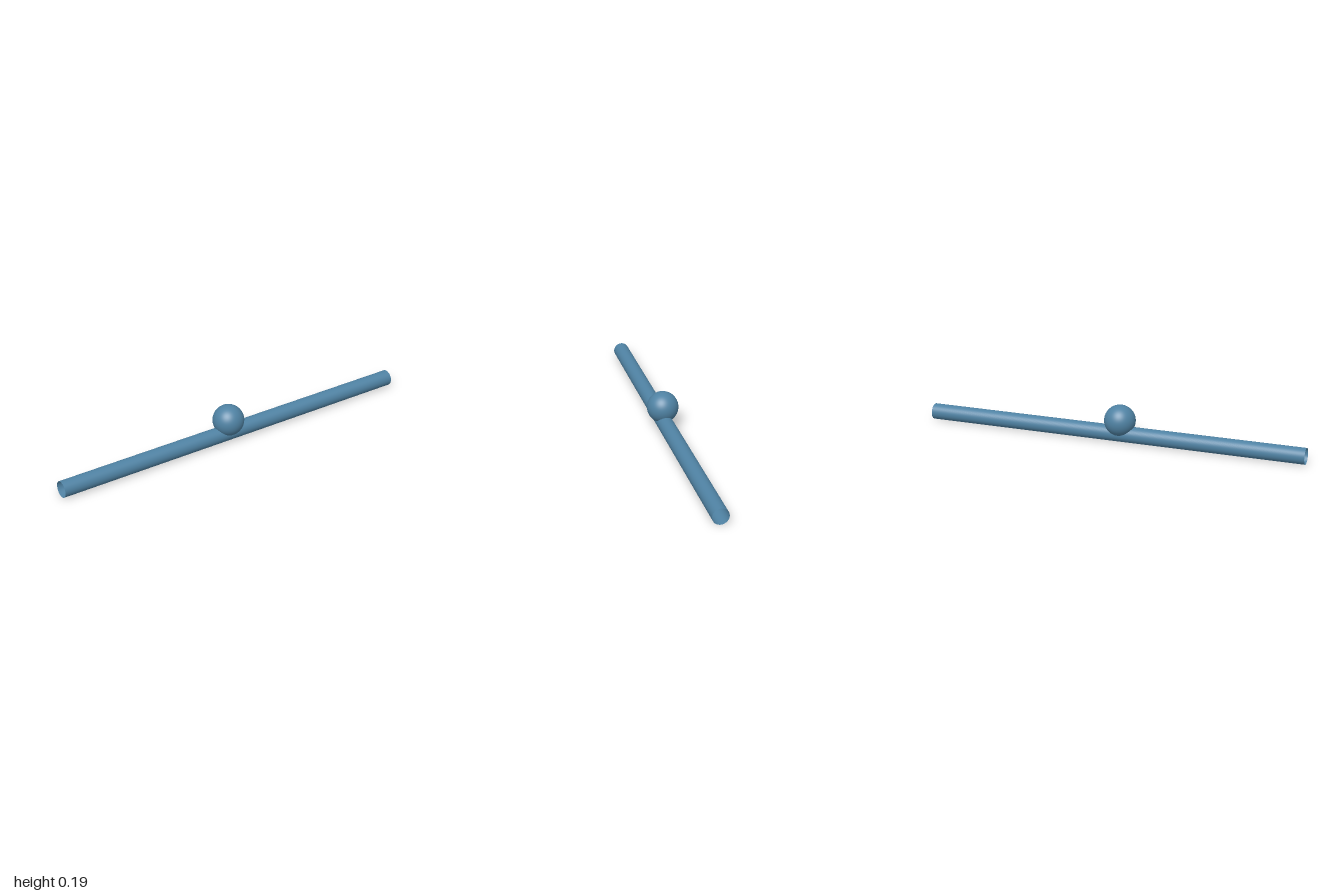
import * as THREE from 'three';

const TUBE_R = 0.041;
const BALL_R = 0.08;
const BALL_X = -0.043;
const BALL_Y = 0.111;

// Sphere whose underside is trimmed where it meets the tube.
function trimmedBall() {
  const geo = new THREE.SphereGeometry(BALL_R, 64, 40, 0, Math.PI * 2, 0, 3);
  const { position, normal, uv } = geo.attributes;
  const d = BALL_Y - TUBE_R; // height of ball centre above tube axis
  const dir = new THREE.Vector3();
  for (let i = 0; i < position.count; i++) {
    const phi = uv.getX(i) * Math.PI * 2;
    // cosine of the polar angle at which this meridian enters the tube
    const a = (BALL_R * Math.cos(phi)) ** 2;
    const b = d * BALL_R;
    const c = d * d + (BALL_R * Math.sin(phi)) ** 2 - TUBE_R ** 2;
    const end = Math.acos(-c / (b + Math.sqrt(b * b - a * c)));
    const theta = (1 - uv.getY(i)) * end;
    dir.set(-Math.cos(phi) * Math.sin(theta), Math.cos(theta), Math.sin(phi) * Math.sin(theta));
    normal.setXYZ(i, dir.x, dir.y, dir.z);
    dir.multiplyScalar(BALL_R);
    position.setXYZ(i, dir.x, dir.y, dir.z);
  }
  return geo;
}

export function createModel() {
  const group = new THREE.Group();
  const material = new THREE.MeshStandardMaterial({ color: 0x4f82a3, side: THREE.DoubleSide });

  // Long thin-walled tube, open at both ends
  const tube = new THREE.Mesh(
    new THREE.CylinderGeometry(TUBE_R, TUBE_R, 2, 64, 1, true).rotateZ(Math.PI / 2),
    material
  );
  tube.name = 'tube';
  tube.position.y = TUBE_R;

  // Ball seated on the tube, leaving the bore clear
  const ball = new THREE.Mesh(trimmedBall(), material);
  ball.name = 'ball';
  ball.position.set(BALL_X, BALL_Y, 0);

  group.add(tube, ball);
  return group;
}
